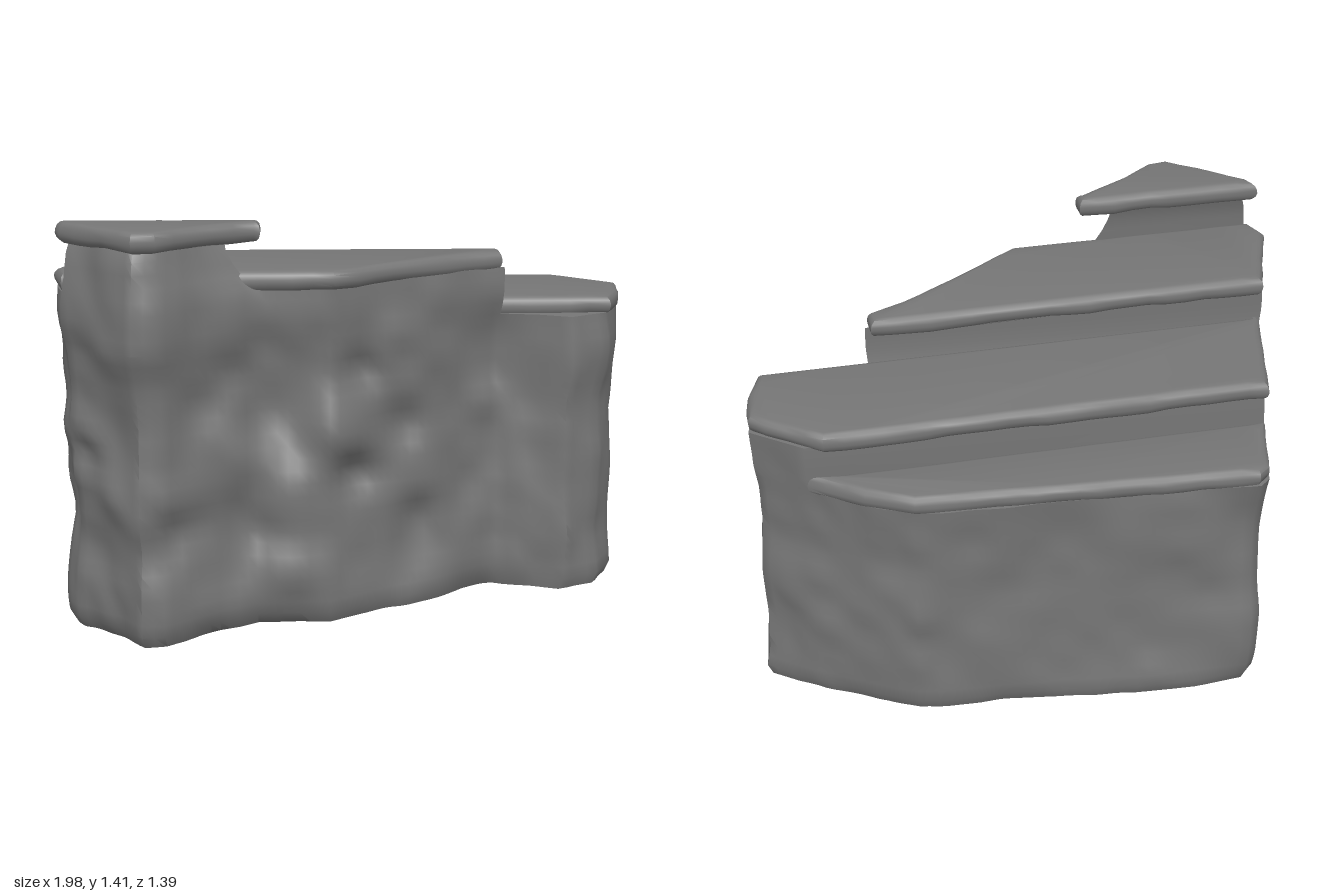
import * as THREE from 'three';
import { toCreasedNormals } from 'three/addons/utils/BufferGeometryUtils.js';

const material = new THREE.MeshStandardMaterial({ color: 0x767676 });
const { smoothstep, clamp } = THREE.MathUtils;

// Plan of the rock, clockwise seen from above: [x, z, tier whose height the wall has from here on]
const PLAN = [
  [-0.65, -0.695, 1], [-0.4, -0.68, 1], [0.1, -0.64, 1], [0.5, -0.605, 1], [0.65, -0.52, 1],
  [0.82, -0.39, 2], [0.99, -0.25, 2], [0.975, -0.1, 2], [0.92, 0.04, 2], [0.79, 0.12, 2], [0.68, 0.08, 2],
  [0.54, 0.065, 3], [0.4, 0.13, 3], [0.2, 0.26, 3], [0.02, 0.39, 3], [-0.08, 0.46, 3],
  [-0.33, 0.475, 4], [-0.52, 0.59, 4], [-0.64, 0.685, 4], [-0.72, 0.7, 4],
  [-0.965, 0.47, 3], [-1.0, 0.35, 3], [-0.885, 0.03, 2], [-0.77, -0.39, 1], [-0.69, -0.66, 1],
];

// Tread slabs: back, front and right limits, underside height
const SLABS = [
  { back: -9, front: -0.39, right: 9, y: 0.83 },
  { back: -0.43, front: 0.035, right: 9, y: 1.0 },
  { back: -0.01, front: 0.45, right: 0.53, y: 1.17 },
  { back: 0.41, front: 9, right: -0.31, y: 1.34 },
];

// Hollows in the front face: [x, y, radius, depth]
const HOLLOWS = [
  [0.0, 0.52, 0.12, 0.06], [0.03, 0.86, 0.11, 0.05], [-0.3, 0.72, 0.13, 0.04], [-0.63, 0.36, 0.12, 0.04],
  [0.24, 0.32, 0.12, 0.04], [0.18, 0.64, 0.1, 0.04], [-0.3, 0.32, 0.1, 0.03], [-0.93, 0.63, 0.09, 0.05],
];

// Row heights of the wall grid and the top row of each tier
const TOP_ROWS = [20, 24, 28, 32];
const rowHeight = (j) => (j <= 20 ? j * 0.042 : 0.84 + (j - 20) * 0.0425);

// Keep the part of a polygon where side(p) >= 0
function clip(poly, side) {
  const out = [];
  poly.forEach((p, i) => {
    const q = poly[(i + 1) % poly.length], a = side(p), b = side(q);
    if (a >= 0) out.push(p);
    if (a * b < 0) {
      const t = a / (a - b);
      out.push([p[0] + (q[0] - p[0]) * t, p[1] + (q[1] - p[1]) * t]);
    }
  });
  return out;
}

function subdivide(poly, step) {
  const out = [];
  poly.forEach((p, i) => {
    const q = poly[(i + 1) % poly.length];
    const n = Math.max(1, Math.round(Math.hypot(q[0] - p[0], q[1] - p[1]) / step));
    for (let k = 0; k < n; k++) out.push([p[0] + (q[0] - p[0]) * k / n, p[1] + (q[1] - p[1]) * k / n, p[2]]);
  });
  return out;
}

// Smooth value noise, 0..1
function hash(x, y, z) {
  const s = Math.sin(x * 127.1 + y * 311.7 + z * 74.7) * 43758.5453;
  return s - Math.floor(s);
}
function noise(x, y, z) {
  const i = [x, y, z].map(Math.floor);
  const f = [x - i[0], y - i[1], z - i[2]].map((t) => t * t * (3 - 2 * t));
  let sum = 0;
  for (let c = 0; c < 8; c++) {
    const d = [c & 1, (c >> 1) & 1, c >> 2];
    const w = d.reduce((acc, b, k) => acc * (b ? f[k] : 1 - f[k]), 1);
    sum += w * hash(i[0] + d[0], i[1] + d[1], i[2] + d[2]);
  }
  return sum;
}

// Hollow a wall point toward a spine running through the rock
function weather(x, y, z) {
  const sx = clamp(x, -0.55, 0.45), sz = -0.08 - 0.12 * sx;
  const dx = sx - x, dz = sz - z, len = Math.hypot(dx, dz);
  const frontness = smoothstep(-dz / len, 0, 0.8) * (1 - 0.75 * smoothstep(y, 0.95, 1.12));
  const n = 0.7 * noise(x * 4.5 + 9, y * 4.5, z * 4.5) + 0.3 * noise(x * 10, y * 10 + 5, z * 10);
  // weathered bands run along the front
  const band = 0.5 + 0.5 * Math.cos((y - 0.8 + 0.05 * Math.sin(x * 7)) / 0.47 * 2 * Math.PI);
  let inset = (0.04 + 0.03 * frontness) * clamp(1.6 * n - 0.4, 0, 1);
  inset += 0.025 * band * frontness * (1 - smoothstep(x, -0.3, 0.5));
  for (const [hx, hy, r, depth] of HOLLOWS) {
    inset += frontness * depth * Math.exp(-((x - hx) ** 2 + (y - hy) ** 2) / (r * r) * 2);
  }
  inset += 0.022 * Math.max(0, 1 - y / 0.045) + 0.02 * Math.max(0, (y - 1.3) / 0.05);
  // the top tier leans in on its right end
  const lean = z > 0.3 ? 0.1 * Math.sqrt(smoothstep(y, 1.18, 1.35)) * smoothstep(x, -0.6, -0.33) : 0;
  return [x + dx / len * inset - lean, y, z + dz / len * inset];
}

// One continuous wall that rises tier by tier, with risers and ledges
function steppedRock() {
  const ring = subdivide(PLAN, 0.035), n = ring.length;
  const pos = [], index = [];
  for (let j = 0; j <= TOP_ROWS[3]; j++) {
    for (const [x, z] of ring) pos.push(...weather(x, rowHeight(j), z));
  }
  const panel = (i, k, j) => {
    const a = j * n + i, b = j * n + k;
    index.push(a, a + n, b + n, a, b + n, b);
  };
  const cap = (columns, row, up) => {
    const ids = columns.map((i) => row * n + i).reverse();
    const contour = ids.map((id) => new THREE.Vector2(pos[id * 3], -pos[id * 3 + 2]));
    for (const [a, b, c] of THREE.ShapeUtils.triangulateShape(contour, [])) {
      index.push(ids[a], ids[up ? b : c], ids[up ? c : b]);
    }
  };
  ring.forEach((p, i) => {
    for (let j = 0; j < TOP_ROWS[p[2] - 1]; j++) panel(i, (i + 1) % n, j);
  });
  const columns = ring.map((_, i) => i);
  cap(columns, 0, false);
  // each ledge is what the next tier leaves free
  for (let t = 1; t <= 4; t++) {
    const inTier = (k) => {
      const first = ring.findIndex((p) => p[2] >= k);
      return first < 0 ? [n, n] : [first, ring.findLastIndex((p) => p[2] >= k) + 1];
    };
    const [first, last] = inTier(t), [nextFirst, nextLast] = inTier(t + 1);
    cap(columns.filter((i) => i >= first && i <= last && (i <= nextFirst || i >= nextLast)), TOP_ROWS[t - 1], true);
    if (t > 1) for (let j = TOP_ROWS[t - 2]; j < TOP_ROWS[t - 1]; j++) panel(last, first, j);
  }
  const geo = new THREE.BufferGeometry();
  geo.setAttribute('position', new THREE.Float32BufferAttribute(pos, 3));
  geo.setIndex(index);
  return toCreasedNormals(geo, 1.0);
}

// Flat tread stone with a rounded, worn rim
function treadSlab({ back, front, right, y }) {
  let poly = clip(PLAN, (p) => p[1] - back);
  poly = clip(poly, (p) => front - p[1]);
  poly = subdivide(clip(poly, (p) => right - p[0]), 0.07);
  const shape = new THREE.Shape(poly.map(([x, z]) => new THREE.Vector2(x, -z)));
  const geo = new THREE.ExtrudeGeometry(shape, {
    depth: 0.012, bevelEnabled: true, bevelThickness: 0.028, bevelSize: 0.026, bevelOffset: -0.026, bevelSegments: 3,
  });
  geo.rotateX(-Math.PI / 2);
  const p = geo.attributes.position;
  for (let i = 0; i < p.count; i++) {
    const [vx, vy, vz] = [p.getX(i), p.getY(i), p.getZ(i)];
    const wear = 1 - 0.012 * noise(vx * 12 + 3, vy * 25 + y * 9, vz * 12);
    const sag = vy < 0.02 ? 0.016 * (noise(vx * 9, y * 5, vz * 9) - 0.5) : 0;
    p.setXYZ(i, vx * wear, vy + sag, vz * wear);
  }
  geo.translate(0, y + 0.028, 0);
  return toCreasedNormals(geo, 0.7);
}

export function createModel() {
  const group = new THREE.Group();
  group.name = 'rockSteps';
  const rock = new THREE.Mesh(steppedRock(), material);
  rock.name = 'steppedRock';
  group.add(rock);
  SLABS.forEach((spec, i) => {
    const slab = new THREE.Mesh(treadSlab(spec), material);
    slab.name = `treadSlab${i + 1}`;
    group.add(slab);
  });
  return group;
}
